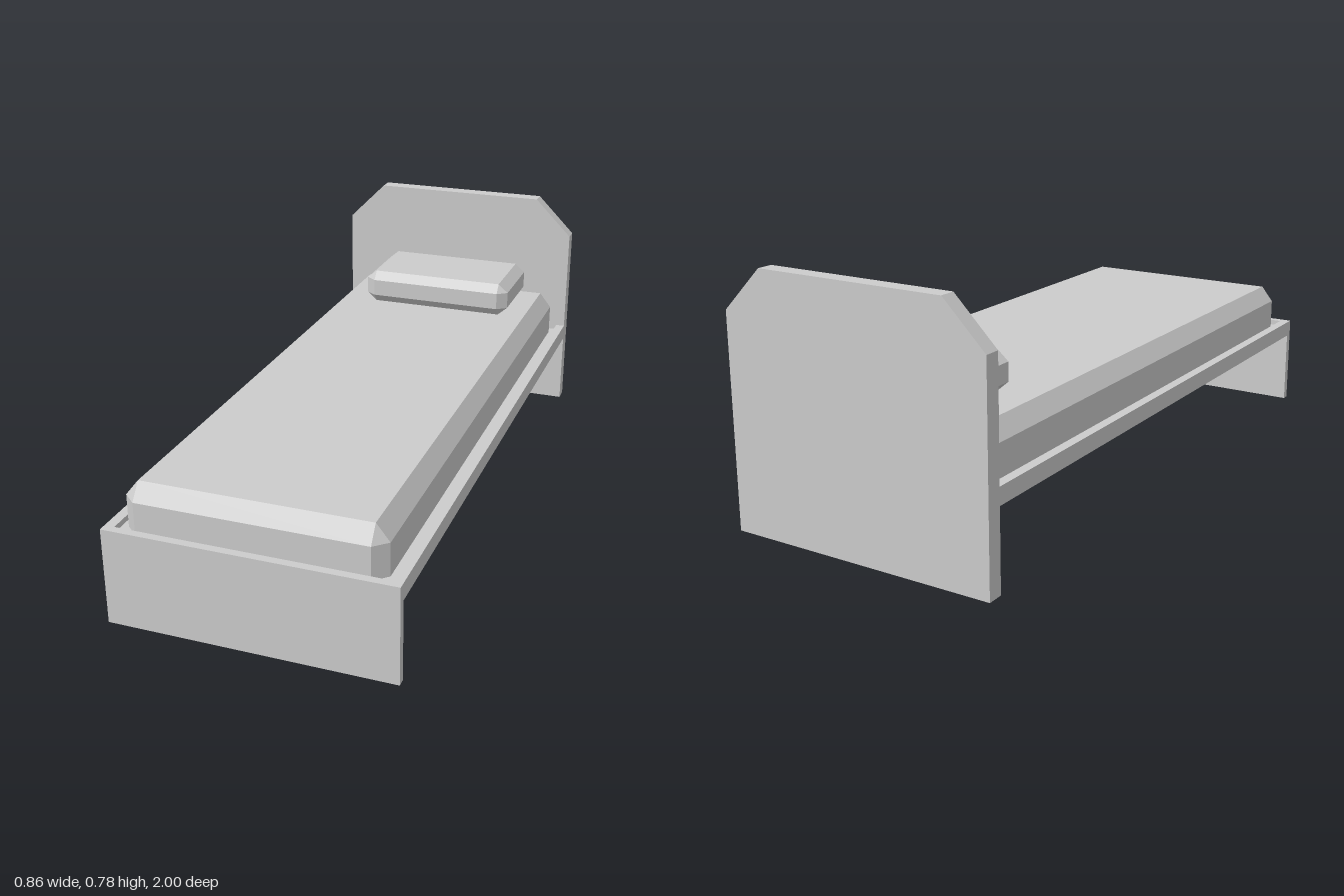
import * as THREE from 'three';
import { ConvexGeometry } from 'three/addons/geometries/ConvexGeometry.js';

const material = new THREE.MeshStandardMaterial({ color: 0xcccccc, flatShading: true });

function part(name, geometry, x = 0, y = 0, z = 0) {
  const mesh = new THREE.Mesh(geometry, material);
  mesh.name = name;
  mesh.position.set(x, y, z);
  return mesh;
}

// Box given by its lower and upper corners
function box(name, [x0, y0, z0], [x1, y1, z1]) {
  return part(name, new THREE.BoxGeometry(x1 - x0, y1 - y0, z1 - z0),
    (x0 + x1) / 2, (y0 + y1) / 2, (z0 + z1) / 2);
}

// Cushion with bevelled edges; cx, cy, cz are the bevel sizes along each axis
function cushion(name, [x0, y0, z0], [x1, y1, z1], [cx, cy, cz], bevelBottom) {
  const hx = (x1 - x0) / 2, hy = (y1 - y0) / 2, hz = (z1 - z0) / 2;
  const points = [];
  for (const sx of [-1, 1]) for (const sy of [-1, 1]) for (const sz of [-1, 1]) {
    const bevelled = sy > 0 || bevelBottom;
    const y = sy * (bevelled ? hy - cy : hy);
    points.push(new THREE.Vector3(sx * hx, y, sz * (hz - cz)));
    points.push(new THREE.Vector3(sx * (hx - cx), y, sz * hz));
    if (bevelled) points.push(new THREE.Vector3(sx * (hx - cx), sy * hy, sz * (hz - cz)));
  }
  return part(name, new ConvexGeometry(points), (x0 + x1) / 2, (y0 + y1) / 2, (z0 + z1) / 2);
}

export function createModel() {
  const bed = new THREE.Group();
  bed.name = 'bed';

  // Headboard panel with cut top corners
  const outline = new THREE.Shape([
    [-0.43, 0], [0.43, 0], [0.43, 0.65], [0.3, 0.78], [-0.3, 0.78], [-0.43, 0.65],
  ].map(([x, y]) => new THREE.Vector2(x, y)));
  bed.add(part('headboard',
    new THREE.ExtrudeGeometry(outline, { depth: 0.05, bevelEnabled: false }), 0, 0, -1));

  // Footboard reaching the floor
  bed.add(box('footboard', [-0.43, 0, 0.975], [0.43, 0.297, 1]));

  // Side rails, and the base set between them
  bed.add(box('rightRail', [-0.43, 0.245, -0.95], [-0.4, 0.297, 0.975]));
  bed.add(box('leftRail', [0.4, 0.245, -0.95], [0.43, 0.297, 0.975]));
  bed.add(box('base', [-0.4, 0.254, -0.95], [0.4, 0.28, 0.975]));

  // Mattress and pillow
  bed.add(cushion('mattress', [-0.38, 0.28, -0.95], [0.38, 0.43, 0.97], [0.04, 0.05, 0.037], false));
  bed.add(cushion('pillow', [-0.25, 0.43, -0.91], [0.28, 0.545, -0.61], [0.034, 0.029, 0.025], true));
  return bed;
}
